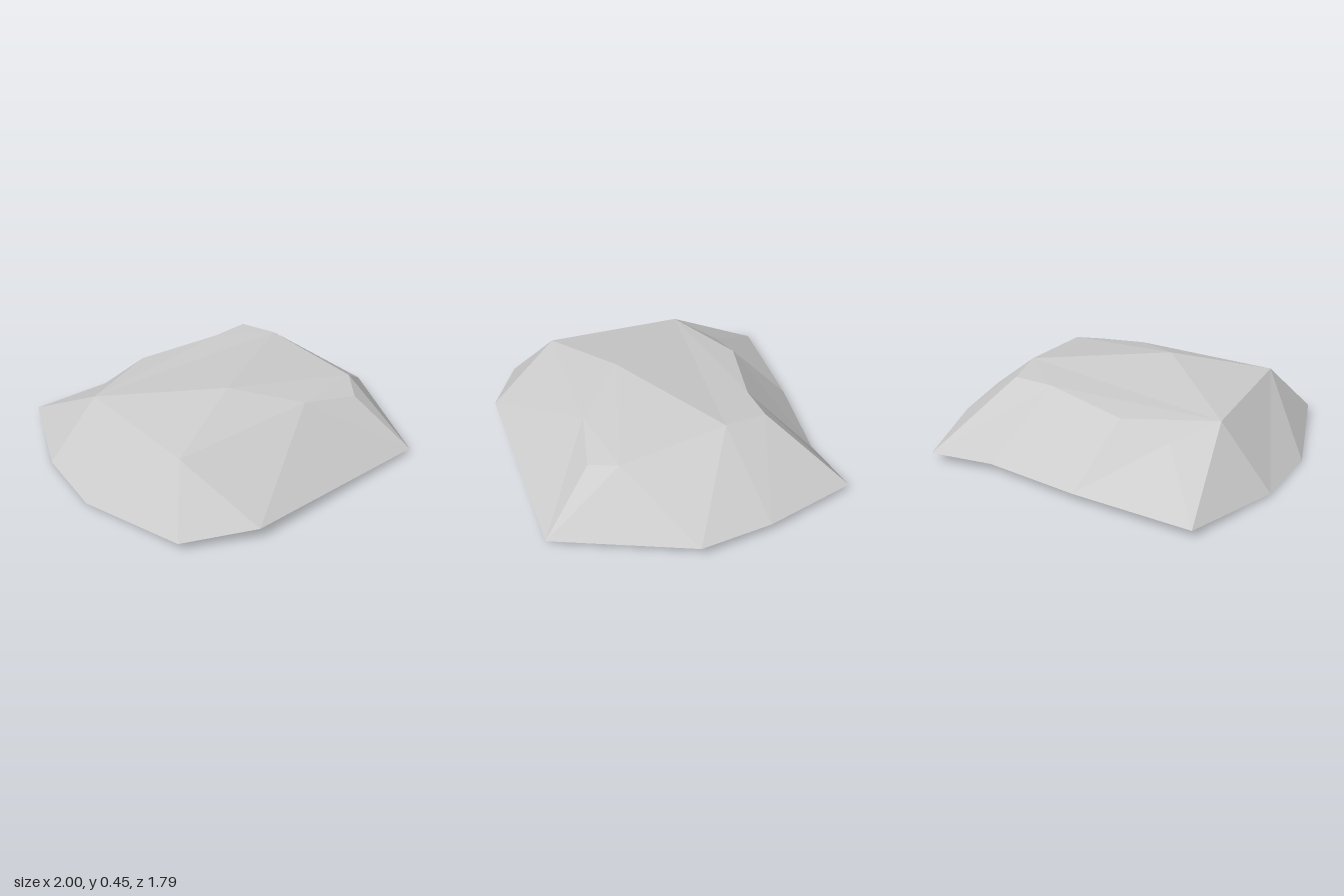
import * as THREE from 'three';

// Ground rim, clockwise from the back right corner seen from above
const rim = [
  [-0.82, 0.045, -0.87], [-0.16, 0.047, -0.87], [0.38, 0.049, -0.83], [0.73, 0.055, -0.9],
  [0.92, 0.07, -0.38], [1, 0.08, 0.02], [0.71, 0.035, 0.76], [-0.45, 0.08, 0.89],
  [-0.82, 0.055, 0.73], [-1, 0, 0.12], [-0.99, 0.012, -0.32],
];

// Shoulder ring where the slopes meet the top, in the same direction
const shoulder = [
  [-0.52, 0.272, -0.53], [-0.25, 0.35, -0.55], [0.23, 0.4, -0.47], [0.45, 0.412, -0.49],
  [0.51, 0.43, -0.25], [0.6, 0.36, 0.34], [0.51, 0.32, 0.49], [0.18, 0.367, 0.45],
  [-0.65, 0.342, 0.49], [-0.7, 0.343, -0.31],
];

// Named corners: r0..r10 on the rim, s0..s9 on the shoulder, p is the peak
const corners = { p: [-0.15, 0.447, 0.19] };
rim.forEach((v, i) => { corners['r' + i] = v; });
shoulder.forEach((v, i) => { corners['s' + i] = v; });

// Facets of each part, counter-clockwise from outside
const parts = {
  backSlope: 'r1 r0 s0 s1, r2 r1 s1 s2, r3 r2 s2 s3',
  leftSlope: 'r4 r3 s3 s4, r5 r4 s4 s5, r6 r5 s5',
  frontSlope: 'r6 s5 s6, r6 s6 s7, r7 r6 s7, r7 s7 s8, r8 r7 s8',
  rightSlope: 'r9 r8 s8, r10 r9 s8 s9, r0 r10 s9 s0',
  rockTop: 's1 s0 s9, s2 s1 s9, s2 s9 s4, s3 s2 s4, s4 s9 p, s9 s8 p, s8 s7 p, p s7 s5 s4, s7 s6 s5',
};

// Splits each facet into a fan of separate flat triangles
function facetGeometry(facets) {
  const positions = [];
  for (const facet of facets.split(', ')) {
    const points = facet.split(' ').map((name) => corners[name]);
    for (let i = 1; i < points.length - 1; i++) {
      positions.push(...points[0], ...points[i], ...points[i + 1]);
    }
  }
  const geometry = new THREE.BufferGeometry();
  geometry.setAttribute('position', new THREE.Float32BufferAttribute(positions, 3));
  geometry.computeVertexNormals();
  return geometry;
}

export function createModel() {
  const group = new THREE.Group();
  group.name = 'rock';
  // The rock is an open shell, hollow from below
  const stone = new THREE.MeshStandardMaterial({
    name: 'stone grey', color: 0xcccccc, flatShading: true, side: THREE.DoubleSide,
  });
  for (const [name, facets] of Object.entries(parts)) {
    const mesh = new THREE.Mesh(facetGeometry(facets), stone);
    mesh.name = name;
    group.add(mesh);
  }
  return group;
}
